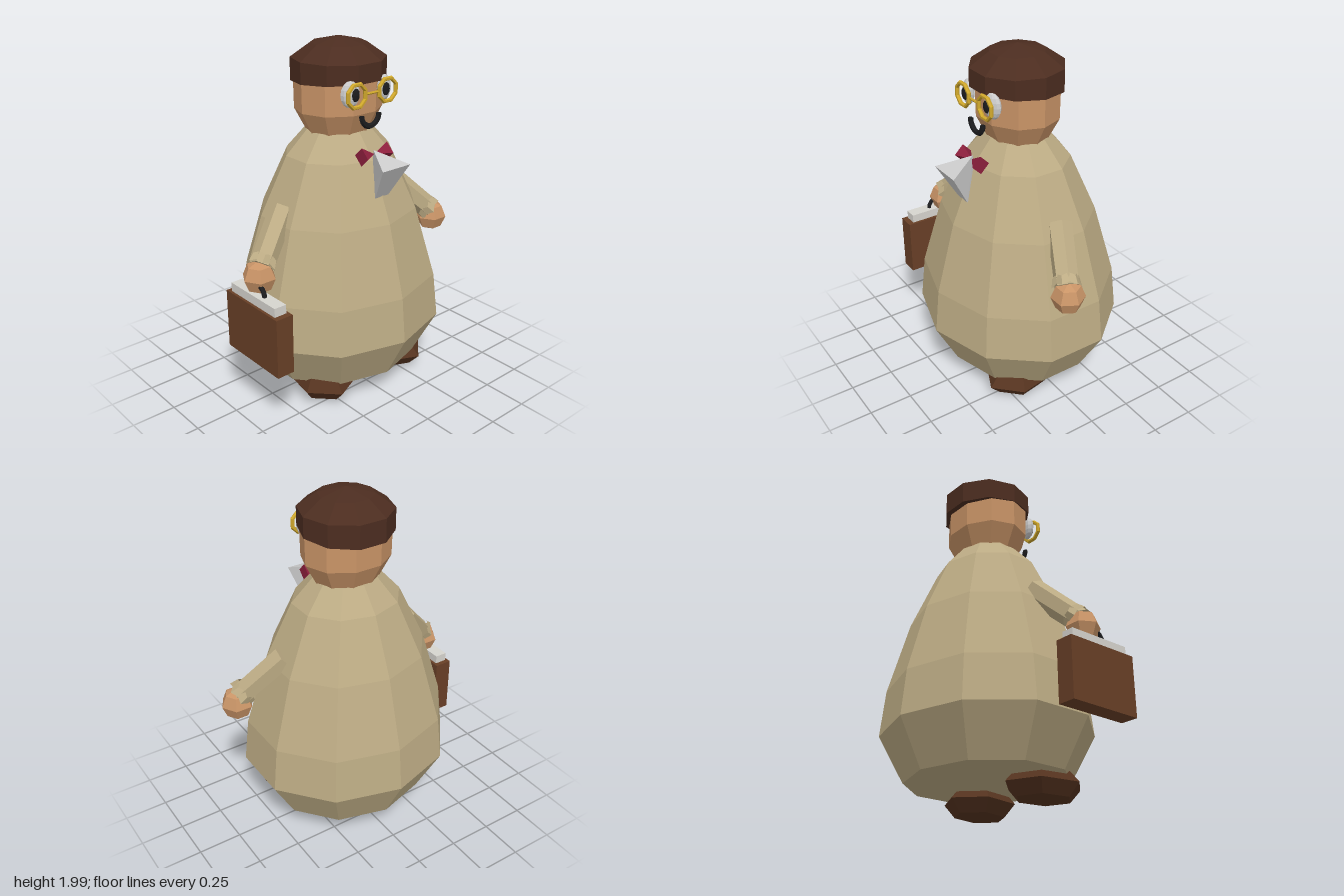
import * as THREE from 'three';

const mat = (color) => new THREE.MeshStandardMaterial({ color, flatShading: true, side: THREE.DoubleSide });
const V = (x, y, z) => new THREE.Vector3(x, y, z);

export function createModel() {
  const root = new THREE.Group();
  const coat = mat(0xbcab84), skin = mat(0xc99467), hairBrown = mat(0x4c2d20), shoe = mat(0x55331f);
  const leather = mat(0x683f26), silver = mat(0xd6d4ce), white = mat(0xe8e8e6), black = mat(0x1c1c1e);
  const gold = mat(0xd0a82c), red = mat(0x8c1f3c);

  const add = (name, geo, material, x = 0, y = 0, z = 0) => {
    const m = new THREE.Mesh(geo, material);
    m.name = name;
    m.position.set(x, y, z);
    root.add(m);
    return m;
  };
  const lathe = (pts, phase = 0) =>
    new THREE.LatheGeometry(pts.map(([r, y]) => new THREE.Vector2(r, y)), 10, phase);
  // low-poly ellipsoid
  const blob = (w, h, rx, ry, rz) => new THREE.SphereGeometry(1, w, h).scale(rx, ry, rz);

  // Coat: ten-sided pear, slightly wider than deep
  add('coat', lathe([[0, 0.15], [0.473, 0.15], [0.62, 0.405], [0.59, 0.66], [0.465, 1.06],
    [0.31, 1.38], [0.19, 1.51], [0, 1.51]]).scale(1, 1, 0.895), coat);

  // Head and hair, corners on the x axis
  add('head', lathe([[0, 1.49], [0.185, 1.5], [0.25, 1.62], [0.253, 1.8], [0, 1.85]], Math.PI / 10)
    .scale(1, 1, 0.88), skin);
  const hairGeo = lathe([[0, 1.775], [0.257, 1.775], [0.257, 1.89], [0.15, 1.965], [0, 2]], Math.PI / 10);
  const hp = hairGeo.attributes.position;
  for (let i = 0; i < hp.count; i++) {
    if (hp.getY(i) < 1.8) hp.setY(i, hp.getY(i) + 0.06 * hp.getZ(i)); // lower at the nape
  }
  add('hair', hairGeo, hairBrown);

  // Mouth: half ring
  add('mouth', new THREE.TorusGeometry(0.06, 0.016, 6, 12, Math.PI).rotateZ(Math.PI), black, 0, 1.625, 0.252)
    .scale.z = 0.85;

  // Glasses bridge
  add('glassesBridge', new THREE.CylinderGeometry(0.007, 0.007, 0.09, 6).rotateZ(Math.PI / 2), gold, 0, 1.742, 0.262);

  for (const s of [1, -1]) {
    // Eyes and glasses
    const eye = add('eye', blob(10, 8, 0.054, 0.07, 0.03), white, s * 0.117, 1.745, 0.226);
    eye.rotation.y = s * 0.3;
    add('pupil', blob(8, 6, 0.026, 0.035, 0.012), black, s * 0.105, 1.745, 0.256);
    add('glassesRim', new THREE.TorusGeometry(0.063, 0.012, 6, 8).rotateZ(Math.PI / 8), gold, s * 0.107, 1.742, 0.265);

    // Bow tie half: pyramid with its tip at the knot
    add('bowTie', new THREE.ConeGeometry(0.05, 0.09, 4).rotateZ(s * Math.PI / 2), red, s * 0.045, 1.42, 0.287);

    // Sleeve
    const a = V(s * 0.395, 1.125, 0), b = V(s * 0.62, 0.9, 0.11);
    const dir = b.clone().sub(a);
    const mid = a.clone().lerp(b, 0.5);
    const sleeve = add('sleeve', new THREE.CylinderGeometry(0.066, 0.07, dir.length(), 6), coat, mid.x, mid.y, mid.z);
    const turn = new THREE.Quaternion().setFromUnitVectors(V(0, 1, 0), dir.clone().normalize());
    sleeve.quaternion.copy(turn);

    // Ruffled cuff: ring with an alternating edge
    const cuffGeo = new THREE.CylinderGeometry(0.074, 0.066, 0.05, 12, 1, true);
    const cp = cuffGeo.attributes.position;
    for (let i = 0; i < cp.count; i++) {
      const k = (i % 13) % 2 ? 1.1 : 0.94;
      cp.setXYZ(i, cp.getX(i) * k, cp.getY(i) + (k > 1 ? 0.008 : -0.008), cp.getZ(i) * k);
    }
    const c = a.clone().lerp(b, 0.92);
    add('cuff', cuffGeo, coat, c.x, c.y, c.z).quaternion.copy(turn);

    add('hand', blob(6, 4, 0.092, 0.092, 0.093), skin, s * 0.64, 0.85, 0.115);

    // Shoe, toes turned out a little
    const foot = add('shoe', blob(6, 4, 0.225, 0.1, 0.185).rotateY(Math.PI / 2), shoe, s * 0.26, 0.11, 0.16);
    foot.rotation.y = s * 0.18;
  }

  // Shirt front: tapering three-sided block that leans forward
  const top = [[0, 1.44, 0.28], [-0.097, 1.385, 0.455], [0.097, 1.385, 0.455]];
  const low = [[0, 1.225, 0.27], [-0.047, 1.2, 0.35], [0.047, 1.2, 0.35]];
  const shirt = new THREE.BufferGeometry();
  shirt.setAttribute('position', new THREE.Float32BufferAttribute([...top, ...low].flat(), 3));
  const faces = [0, 1, 2, 3, 5, 4];
  for (let i = 0; i < 3; i++) {
    const j = (i + 1) % 3;
    faces.push(i, i + 3, j, j, i + 3, j + 3);
  }
  shirt.setIndex(faces);
  const shirtGeo = shirt.toNonIndexed();
  shirtGeo.computeVertexNormals();
  add('shirtFront', shirtGeo, white);

  // Briefcase in the right hand
  add('briefcase', new THREE.BoxGeometry(0.102, 0.335, 0.44), leather, -0.677, 0.563, 0.155);
  add('briefcaseTop', new THREE.BoxGeometry(0.072, 0.05, 0.38), silver, -0.677, 0.755, 0.152);
  add('briefcaseHandle', new THREE.TorusGeometry(0.058, 0.013, 6, 8, Math.PI).rotateY(Math.PI / 2), black, -0.677, 0.775, 0.152);

  return root;
}
